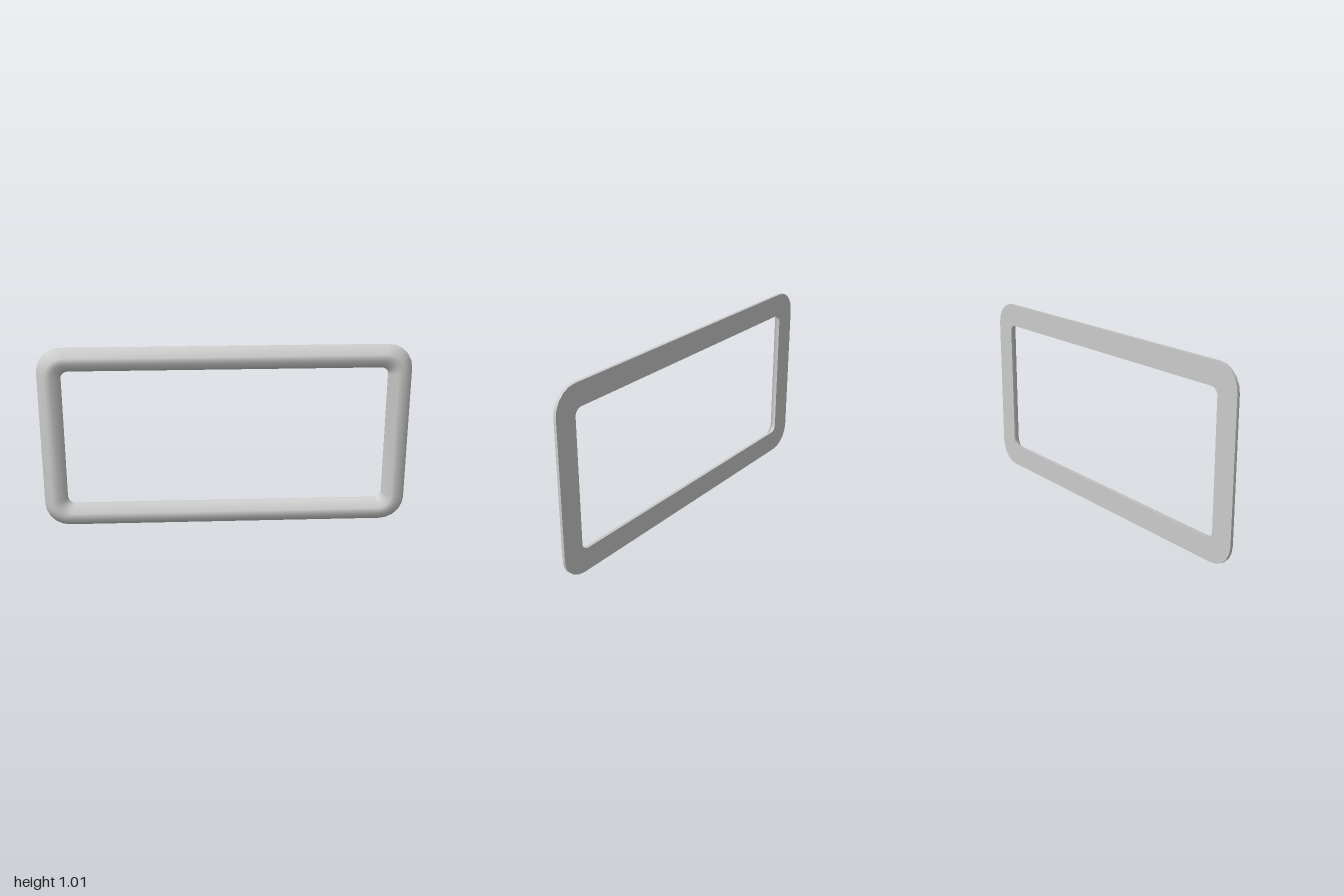
import * as THREE from 'three';
import { toCreasedNormals } from 'three/addons/utils/BufferGeometryUtils.js';

const W = 2, H = 1.01, BAR = 0.125;
const R_OUT = 0.13, R_IN = 0.04, CORNER_STEPS = 5;

// Bar cross-section: [distance inward from the outer edge, z]
const PROFILE = [
  [0, -0.029], [0, -0.013], [0.045, 0.029],
  [0.08, 0.029], [BAR, -0.013], [BAR, -0.029],
];

function sweepFrame() {
  const positions = [], index = [];
  const n = PROFILE.length;
  // Corner quadrants, counter-clockwise from the lower right
  const corners = [[1, -1], [1, 1], [-1, 1], [-1, -1]];
  corners.forEach(([sx, sy], c) => {
    for (let s = 0; s <= CORNER_STEPS; s++) {
      const a = (c - 1 + s / CORNER_STEPS) * Math.PI / 2;
      for (const [d, z] of PROFILE) {
        const r = THREE.MathUtils.lerp(R_OUT, R_IN, d / BAR);
        positions.push(
          sx * (W / 2 - d - r) + r * Math.cos(a),
          H / 2 + sy * (H / 2 - d - r) + r * Math.sin(a),
          z
        );
      }
    }
  });
  const rings = positions.length / 3 / n;
  for (let j = 0; j < rings; j++) {
    const j2 = (j + 1) % rings;
    for (let i = 0; i < n; i++) {
      const i2 = (i + 1) % n;
      const a = j * n + i, b = j2 * n + i, e = j2 * n + i2, f = j * n + i2;
      index.push(a, b, e, a, e, f);
    }
  }
  const geo = new THREE.BufferGeometry();
  geo.setAttribute('position', new THREE.Float32BufferAttribute(positions, 3));
  geo.setIndex(index);
  return toCreasedNormals(geo, THREE.MathUtils.degToRad(65));
}

export function createModel() {
  const group = new THREE.Group();
  group.name = 'rectangularFrame';
  // One continuous bevelled bar with a flat back
  const frame = new THREE.Mesh(sweepFrame(), new THREE.MeshStandardMaterial({ color: 0xcccccc }));
  frame.name = 'frame';
  group.add(frame);
  return group;
}
